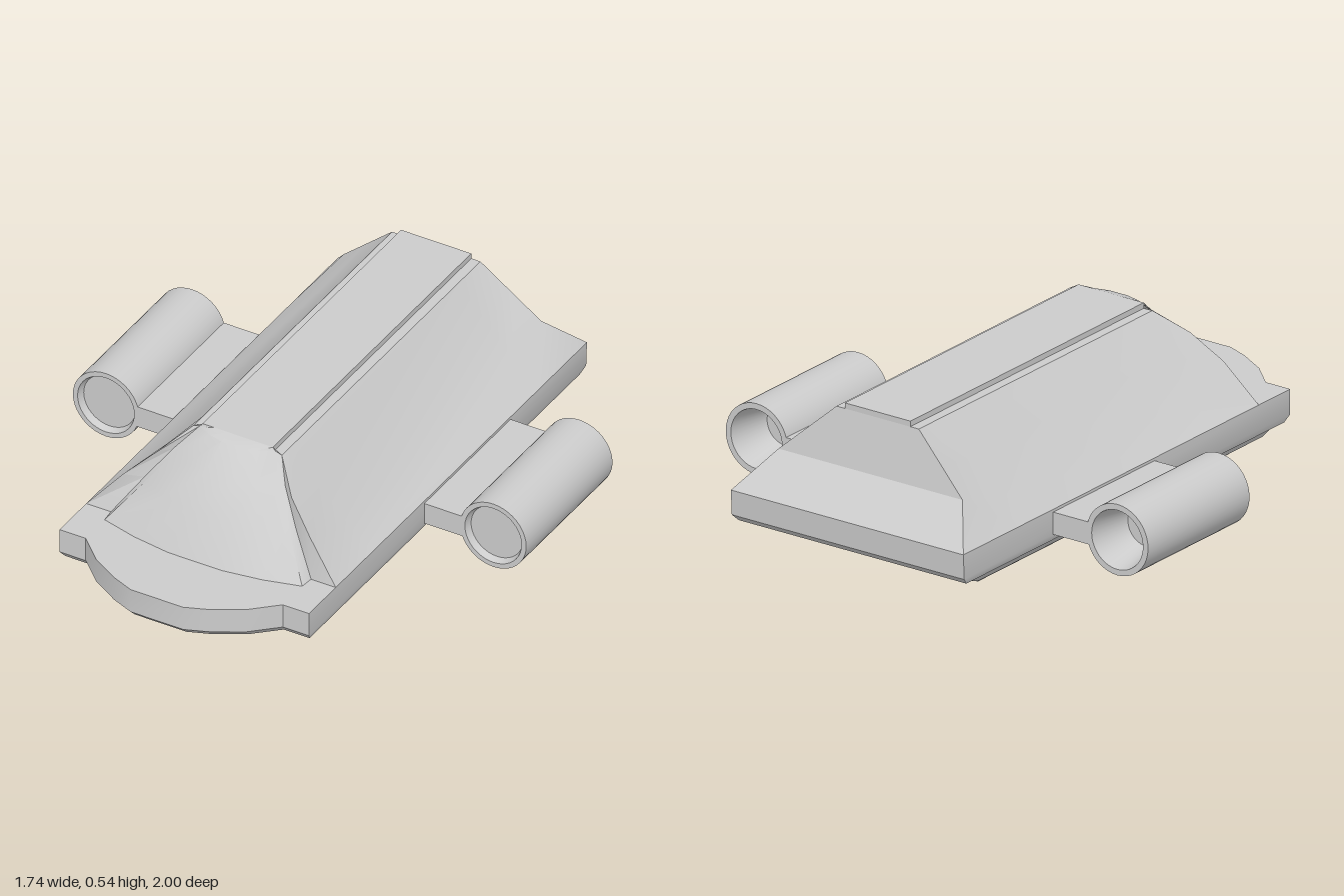
import * as THREE from 'three';
import { toCreasedNormals } from 'three/addons/utils/BufferGeometryUtils.js';

const material = new THREE.MeshStandardMaterial({ color: 0xcccccc, side: THREE.DoubleSide });

function addMesh(parent, name, geometry) {
  const mesh = new THREE.Mesh(geometry, material);
  mesh.name = name;
  parent.add(mesh);
  return mesh;
}

// Skin between rows of [x, y, z] points, skipping collapsed triangles
function skin(rows, crease = 0.5) {
  const pos = [];
  const tri = (a, b, c) => {
    const same = (p, q) => p.every((v, i) => v === q[i]);
    if (!same(a, b) && !same(b, c) && !same(a, c)) pos.push(...a, ...b, ...c);
  };
  for (let i = 0; i < rows.length - 1; i++) {
    for (let j = 0; j < rows[i].length - 1; j++) {
      const a = rows[i][j], b = rows[i][j + 1], c = rows[i + 1][j + 1], d = rows[i + 1][j];
      tri(a, b, c);
      tri(a, c, d);
    }
  }
  const g = new THREE.BufferGeometry();
  g.setAttribute('position', new THREE.Float32BufferAttribute(pos, 3));
  return toCreasedNormals(g, crease);
}

const flipX = ([x, y, z]) => [-x, y, z];
// Completes a half row (centre to +x) into a full one running from -x to +x
const mirrored = (half) => [...half.map(flipX).reverse(), ...half];

// Plan outline of the hull: square stern, stepped shoulders, bowed nose
function hullRing([y, w, back, shoulder, front]) {
  const bow = [[0.21, 1], [0.38, 0.82], [0.6, 0.48], [0.79, 0]];
  const half = bow.map(([fx, fz]) => [fx * w, y, shoulder + fz * (front - shoulder)]);
  half.push([w, y, shoulder], [w, y, back]);
  const ring = mirrored(half);
  return [...ring, ring[0]];
}

function hull() {
  const levels = [ // y, half width, back, shoulder, front
    [0, 0.365, -0.765, 0.63, 0.765],
    [0.02, 0.37, -0.77, 0.64, 0.775],
    [0.042, 0.425, -0.84, 0.74, 0.88],
    [0.065, 0.44, -0.9, 0.76, 0.91],
    [0.085, 0.47, -0.97, 0.8, 0.975],
    [0.11, 0.48, -0.995, 0.82, 1],
    [0.2, 0.48, -1, 0.82, 1],
  ];
  const rings = levels.map(hullRing);
  const cap = (y) => rings[0].map(() => [0, y, 0]);
  return skin([cap(0), ...rings, cap(0.2)]);
}

// Front edge of the cabin wall, from deck to roof
const wallFront = [[0.48, 0.2, 0.645], [0.36, 0.34, 0.61], [0.26, 0.435, 0.56], [0.17, 0.52, 0.47]];
const wallBack = [[0.48, 0.2, -1], [0.38, 0.33, -0.87], [0.275, 0.425, -0.85], [0.17, 0.52, -0.83]];
const wallSection = [[0.48, 0.2], [0.38, 0.28], [0.275, 0.395], [0.17, 0.52]];

function cabinWall() {
  const rows = wallSection.map(([x, y], i) => [
    wallFront[i], [x, y, 0.4], [x, y, -0.69], wallBack[i],
  ]);
  rows.push(rows[3].map(([, y, z]) => [0.13, y, z])); // narrow shoulder beside the roof
  return skin(rows);
}

function noseScreen() {
  const levels = [ // y, edge x, edge z, centre z, valley x, valley z
    [0.2, 0.38, 0.695, 0.752, 0.385, 0.645],
    [0.34, 0.275, 0.605, 0.68, 0.29, 0.585],
    [0.445, 0.2, 0.53, 0.6, 0.215, 0.525],
    [0.528, 0.14, 0.475, 0.513, 0.145, 0.47],
  ];
  const rows = levels.map(([y, x, ze, zc, vx, vz], i) => mirrored([
    [x * 0.27, y, zc],
    [x * 0.65, y, ze + (zc - ze) * 0.62],
    [x, y, ze],
    [vx, y, vz],
    wallFront[i],
  ]));
  // Lip that closes onto the roof panel
  rows.push(mirrored([0.036, 0.088, 0.135, 0.135, 0.135].map((x) => [x, 0.54, 0.47])));
  return skin(rows);
}

function cabinStern() {
  const rows = wallBack.map((p) => [p, flipX(p)]);
  return skin(rows, 0.2);
}

// Hollow pod: deep tapered opening at the back, shallow disc at the front
function podGeometry(back, front) {
  const profile = [
    [0, back + 0.16], [0.075, back + 0.16], [0.106, back],
    [0.127, back], [0.127, front], [0.109, front],
    [0.1, front - 0.025], [0, front - 0.025],
  ].map(([r, z]) => new THREE.Vector2(r, z));
  const g = new THREE.LatheGeometry(profile, 40);
  g.rotateX(Math.PI / 2);
  return toCreasedNormals(g, 0.5);
}

export function createModel() {
  const model = new THREE.Group();
  model.name = 'shuttle';

  addMesh(model, 'hull', hull());

  // Cabin
  const cabin = new THREE.Group();
  cabin.name = 'cabin';
  model.add(cabin);
  const wall = cabinWall();
  addMesh(cabin, 'leftWall', wall);
  addMesh(cabin, 'rightWall', wall).scale.x = -1;
  addMesh(cabin, 'noseScreen', noseScreen());
  addMesh(cabin, 'stern', cabinStern());
  const roof = new THREE.BoxGeometry(0.27, 0.04, 1.3);
  addMesh(cabin, 'roofPanel', roof).position.set(0, 0.52, -0.18);

  // Engine pods on short wings
  const back = -0.5, front = 0.065;
  const pod = podGeometry(back, front);
  const wing = new THREE.BoxGeometry(0.17, 0.08, front - back);
  for (const [side, sign] of [['left', 1], ['right', -1]]) {
    addMesh(model, side + 'Pod', pod).position.set(sign * 0.745, 0.155, 0);
    addMesh(model, side + 'Wing', wing).position.set(sign * 0.55, 0.15, (front + back) / 2);
  }
  return model;
}
